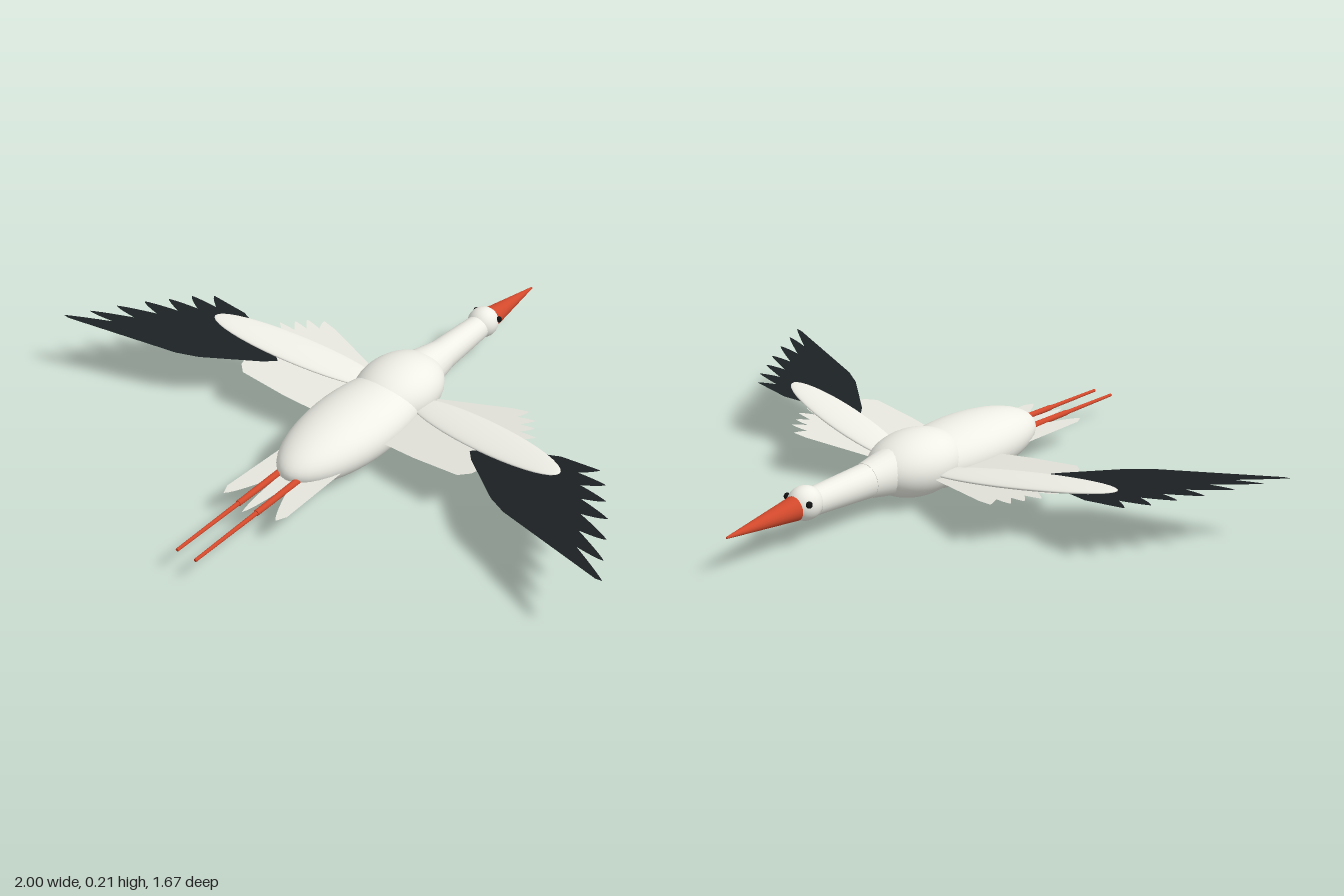
import * as THREE from 'three';

const mat = (color, side = THREE.FrontSide) => new THREE.MeshStandardMaterial({ color, side });
const white = mat(0xeeeee6);
const whiteFeather = mat(0xe4e4dc, THREE.DoubleSide);
const blackFeather = mat(0x1c2124, THREE.DoubleSide);
const orange = mat(0xd2492c);
const black = mat(0x111111);

export function createModel() {
  const bird = new THREE.Group();
  bird.name = 'flyingBird';

  const add = (name, geometry, material) => {
    const mesh = new THREE.Mesh(geometry, material);
    mesh.name = name;
    bird.add(mesh);
    return mesh;
  };

  const ellipsoid = (name, pos, radii, material = white) => {
    const mesh = add(name, new THREE.SphereGeometry(1, 40, 28), material);
    mesh.position.set(...pos);
    mesh.scale.set(...radii);
    return mesh;
  };

  // Tapered round limb between two points
  const limb = (name, from, to, r0, r1, material) => {
    const a = new THREE.Vector3(...from), b = new THREE.Vector3(...to);
    const dir = b.clone().sub(a);
    const mesh = add(name, new THREE.CylinderGeometry(r1, r0, dir.length(), 24), material);
    mesh.position.copy(a).addScaledVector(dir, 0.5);
    mesh.quaternion.setFromUnitVectors(new THREE.Vector3(0, 1, 0), dir.normalize());
    return mesh;
  };

  // Thin feather sheet: root points, then rounded tips with notches pulled to a pivot
  const feathers = (name, start, tips, end, pivot, depth, height, material, side = 1) => {
    const shape = new THREE.Shape();
    const toPivot = (p, t) => [p[0] + (pivot[0] - p[0]) * t, p[1] + (pivot[1] - p[1]) * t];
    shape.moveTo(...start[0]);
    start.slice(1).forEach((p) => shape.lineTo(...p));
    tips.forEach((tip, i) => {
      if (i === 0) shape.lineTo(...tip);
      else {
        const prev = tips[i - 1];
        const mid = [(prev[0] + tip[0]) / 2, (prev[1] + tip[1]) / 2];
        const notch = toPivot(mid, depth);
        const bulge = toPivot(prev, depth * 0.25);
        const out = toPivot(tip, depth * 0.3);
        shape.quadraticCurveTo((bulge[0] * 2 + mid[0]) / 3, (bulge[1] * 2 + mid[1]) / 3, ...notch);
        shape.quadraticCurveTo((out[0] * 2 + mid[0]) / 3, (out[1] * 2 + mid[1]) / 3, ...tip);
      }
    });
    end.forEach((p) => shape.lineTo(...p));
    const geo = new THREE.ShapeGeometry(shape, 5);
    const pos = geo.attributes.position;
    for (let i = 0; i < pos.count; i++) {
      const x = pos.getX(i), z = pos.getY(i);
      pos.setXYZ(i, x * side, height(x), z);
    }
    geo.computeVertexNormals();
    return add(name, geo, material);
  };

  // Body, neck and head
  ellipsoid('body', [0, 0.096, 0.11], [0.136, 0.096, 0.322]);
  ellipsoid('chest', [0, 0.111, -0.1], [0.126, 0.098, 0.17]);
  limb('neckBase', [0, 0.113, -0.2], [0, 0.115, -0.312], 0.074, 0.053, white);
  limb('neck', [0, 0.115, -0.31], [0, 0.119, -0.52], 0.052, 0.041, white);
  ellipsoid('head', [0, 0.125, -0.55], [0.05, 0.05, 0.053]);
  limb('beak', [0, 0.121, -0.59], [0, 0.117, -0.835], 0.036, 0.003, orange);

  // Tail fan
  feathers('tail', [[-0.07, 0.25], [-0.107, 0.31], [-0.113, 0.55]],
    [[-0.098, 0.582], [0, 0.612], [0.098, 0.582]],
    [[0.113, 0.55], [0.107, 0.31], [0.07, 0.25]],
    [0, 0.25], 0.48, () => 0.082, whiteFeather);

  const wingHeight = (x) => 0.085 + 0.118 * x;

  for (const side of [1, -1]) {
    const label = side > 0 ? 'left' : 'right';
    ellipsoid(label + 'Eye', [0.045 * side, 0.14, -0.575], [0.009, 0.01, 0.01], black);

    // Trailing legs
    limb(label + 'Thigh', [0.034 * side, 0.088, 0.3], [0.034 * side, 0.082, 0.59], 0.011, 0.009, orange);
    limb(label + 'Shin', [0.034 * side, 0.082, 0.58], [0.034 * side, 0.077, 0.835], 0.007, 0.005, orange);

    // Wing arm, swept back and raised towards the tip
    const arm = ellipsoid(label + 'WingArm', [0.355 * side, 0.134, -0.04], [0.31, 0.013, 0.068]);
    arm.rotation.set(0, -0.18 * side, 0.125 * side, 'ZYX');

    // Pale inner feathers
    feathers(label + 'InnerFeathers', [[0.05, 0.13], [0.05, -0.12], [0.12, -0.143], [0.35, -0.215]],
      [[0.4, -0.223], [0.445, -0.19], [0.465, -0.155], [0.495, -0.115], [0.505, -0.07]],
      [[0.53, 0], [0.45, 0.1], [0.44, 0.13], [0.41, 0.157], [0.25, 0.152]],
      [0.12, 0.0], 0.12, wingHeight, whiteFeather, side);

    // Dark fan of flight feathers
    feathers(label + 'FlightFeathers', [[0.37, 0.04], [0.45, -0.02], [0.61, -0.07]],
      [[0.74, -0.068], [0.79, -0.015], [0.83, 0.05], [0.875, 0.115], [0.92, 0.195], [0.96, 0.275], [1, 0.348]],
      [[0.98, 0.349], [0.62, 0.235], [0.555, 0.2], [0.4, 0.075]],
      [0.37, 0.04], 0.18, (x) => wingHeight(x) + 0.001, blackFeather, side);
  }
  return bird;
}
